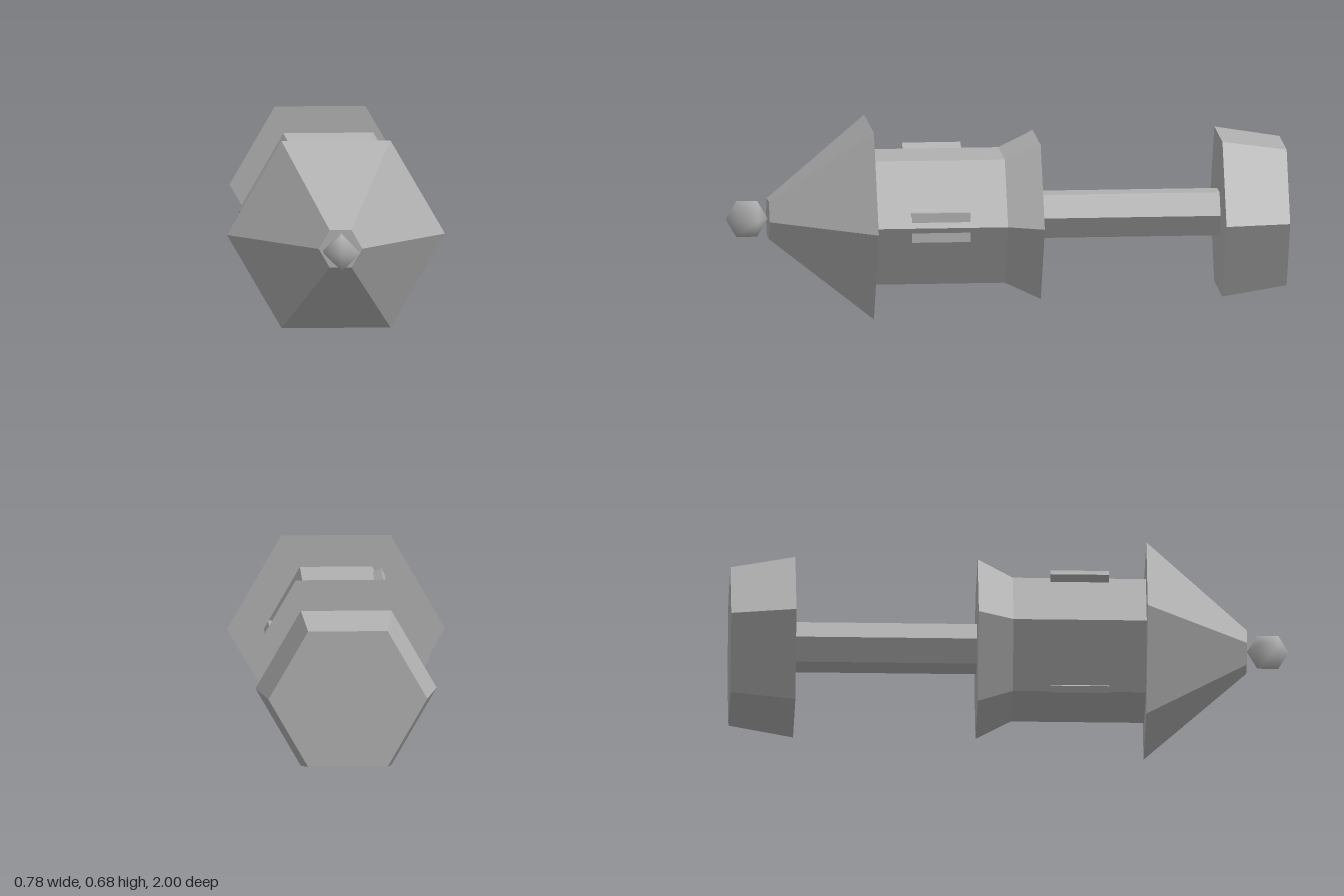
import * as THREE from 'three';

const AXIS_Y = 0.338; // height of the long axis

export function createModel() {
  const model = new THREE.Group();
  const flatGrey = new THREE.MeshStandardMaterial({ color: 0xb0b0b0 });
  flatGrey.name = 'grey';

  const body = new THREE.Group();
  body.name = 'body';
  body.position.y = AXIS_Y;
  model.add(body);

  function add(name, geometry) {
    const mesh = new THREE.Mesh(geometry, flatGrey);
    mesh.name = name;
    body.add(mesh);
    return mesh;
  }

  // Six-sided section along z, corners on the x axis, with flat faces
  function hexSection(name, zBack, rBack, zFront, rFront) {
    const g = new THREE.CylinderGeometry(rFront, rBack, zFront - zBack, 6)
      .rotateY(Math.PI / 2)
      .rotateX(Math.PI / 2)
      .translate(0, 0, (zBack + zFront) / 2)
      .toNonIndexed();
    g.computeVertexNormals();
    return add(name, g);
  }

  hexSection('pommel', -1, 0.284, -0.768, 0.324);
  hexSection('shaft', -0.768, 0.09, -0.116, 0.09);
  hexSection('collar', -0.116, 0.322, 0.01, 0.258);
  hexSection('barrel', 0.01, 0.258, 0.486, 0.258);
  hexSection('noseCone', 0.486, 0.39, 0.849, 0.078);

  // Smooth four-sided bead at the nose
  add('tipBead', new THREE.SphereGeometry(0.075, 4, 3).rotateX(Math.PI / 2).translate(0, 0, 0.925));

  // Three bars set into alternate corners of the barrel, turned against their position
  for (let i = 0; i < 3; i++) {
    const a = (i * Math.PI * 2) / 3;
    const bar = add('sideBar', new THREE.BoxGeometry(0.024, 0.106, 0.21));
    bar.position.set(Math.cos(a) * 0.235, Math.sin(a) * 0.235, 0.249);
    bar.rotation.z = -a;
  }

  return model;
}
